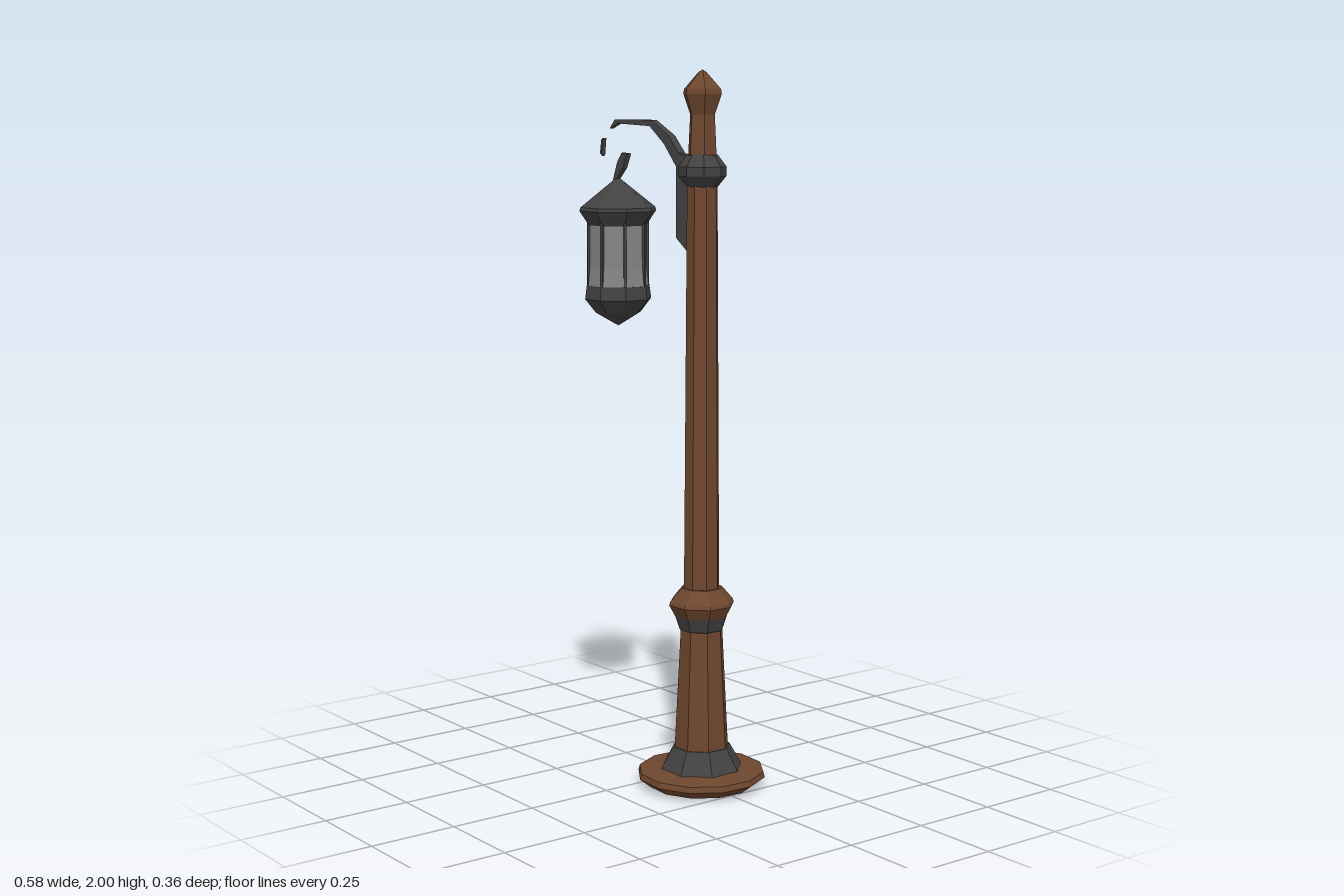
import * as THREE from 'three';

const POST_X = 0.113, LAMP = [-0.19, 0.065];

function material(name, color, side = THREE.FrontSide) {
  const m = new THREE.MeshStandardMaterial({ color, flatShading: true, side });
  m.name = name;
  return m;
}

export function createModel() {
  const wood = material('brown wood', 0x6e472f);
  const iron = material('dark iron', 0x424242, THREE.DoubleSide);
  const glass = material('grey glass', 0x858585, THREE.DoubleSide);
  const model = new THREE.Group();
  model.name = 'streetLamp';

  // Faceted turned part; profile is a list of [radius, y], bottom to top
  function turned(name, mat, profile, sides, [x, z], twist = Math.PI / sides) {
    const pts = profile.map(([r, y]) => new THREE.Vector2(r, y));
    const mesh = new THREE.Mesh(new THREE.LatheGeometry(pts, sides, twist), mat);
    mesh.name = name;
    mesh.position.set(x, 0, z);
    model.add(mesh);
    return mesh;
  }

  // Thin iron piece cut in x,y, swung towards the lantern and tapering to its end
  function ironwork(name, outline) {
    const shape = new THREE.Shape(outline.map(([x, y]) => new THREE.Vector2(x, y)));
    const geo = new THREE.ExtrudeGeometry(shape, { depth: 1, bevelEnabled: false });
    const p = geo.attributes.position;
    for (let i = 0; i < p.count; i++) {
      const x = p.getX(i);
      const width = THREE.MathUtils.mapLinear(x, -0.25, 0.1, 0.011, 0.026);
      p.setZ(i, 0.07 - (x + 0.2) * 0.21 + (p.getZ(i) - 0.5) * width);
    }
    geo.computeVertexNormals();
    const mesh = new THREE.Mesh(geo, iron);
    mesh.name = name;
    model.add(mesh);
  }

  // Post, from the foot up
  const post = [POST_X, 0];
  turned('footDisc', wood, [[0, 0], [0.15, 0.005], [0.182, 0.03], [0.178, 0.046], [0.1, 0.055], [0, 0.055]], 12, post, 0.2);
  turned('footCollar', iron, [[0.118, 0.05], [0.112, 0.062], [0.082, 0.115], [0, 0.115]], 8, post);
  turned('lowerPost', wood, [[0.078, 0.11], [0.06, 0.46]], 8, post);
  turned('middleBand', iron, [[0.058, 0.45], [0.064, 0.456], [0.076, 0.492]], 8, post);
  turned('middleCollar', wood, [[0.076, 0.492], [0.094, 0.525], [0.09, 0.535], [0.058, 0.572], [0, 0.572]], 8, post);
  turned('shaft', wood, [[0.051, 0.56], [0.043, 1.7]], 8, post);
  turned('upperCollar', iron, [[0.042, 1.685], [0.066, 1.715], [0.066, 1.74], [0.042, 1.772]], 8, post, 0.2);
  turned('neck', wood, [[0.042, 1.76], [0.036, 1.88]], 6, post, 0);
  turned('finial', wood, [[0.036, 1.88], [0.056, 1.935], [0.054, 1.948], [0.012, 1.993], [0, 2]], 6, post, 0);

  // Bracket and curved arm
  ironwork('bracketArm', [
    [0.085, 1.51], [0.075, 1.51], [0.036, 1.545], [0.036, 1.74], [-0.008, 1.8],
    [-0.06, 1.847], [-0.18, 1.853], [-0.21, 1.838], [-0.19, 1.864], [-0.055, 1.864],
    [0.01, 1.822], [0.045, 1.775], [0.09, 1.765],
  ]);
  ironwork('armCurl', [[-0.247, 1.77], [-0.242, 1.808], [-0.235, 1.812], [-0.24, 1.762]]);
  ironwork('lanternHook', [
    [-0.198, 1.695], [-0.182, 1.745], [-0.165, 1.772], [-0.145, 1.77], [-0.16, 1.73], [-0.184, 1.7],
  ]);

  // Lantern
  turned('lanternRoof', iron, [[0.084, 1.57], [0.111, 1.61], [0.108, 1.62], [0, 1.705]], 8, LAMP);
  turned('lanternGlass', glass, [[0.09, 1.39], [0.084, 1.45], [0.083, 1.575]], 8, LAMP);
  turned('lanternBase', iron, [[0, 1.285], [0.065, 1.323], [0.096, 1.362], [0.091, 1.4], [0, 1.4]], 8, LAMP);

  // Slim bars on the lantern corners
  const bars = new THREE.Group();
  bars.name = 'lanternBars';
  bars.position.set(LAMP[0], 0, LAMP[1]);
  for (let i = 0; i < 8; i++) {
    const a = Math.PI / 8 + i * Math.PI / 4;
    const bar = new THREE.Mesh(new THREE.BoxGeometry(0.008, 0.19, 0.008), iron);
    bar.name = 'lanternBar';
    bar.position.set(Math.sin(a) * 0.085, 1.485, Math.cos(a) * 0.085);
    bar.rotation.y = a;
    bars.add(bar);
  }
  model.add(bars);

  return model;
}
